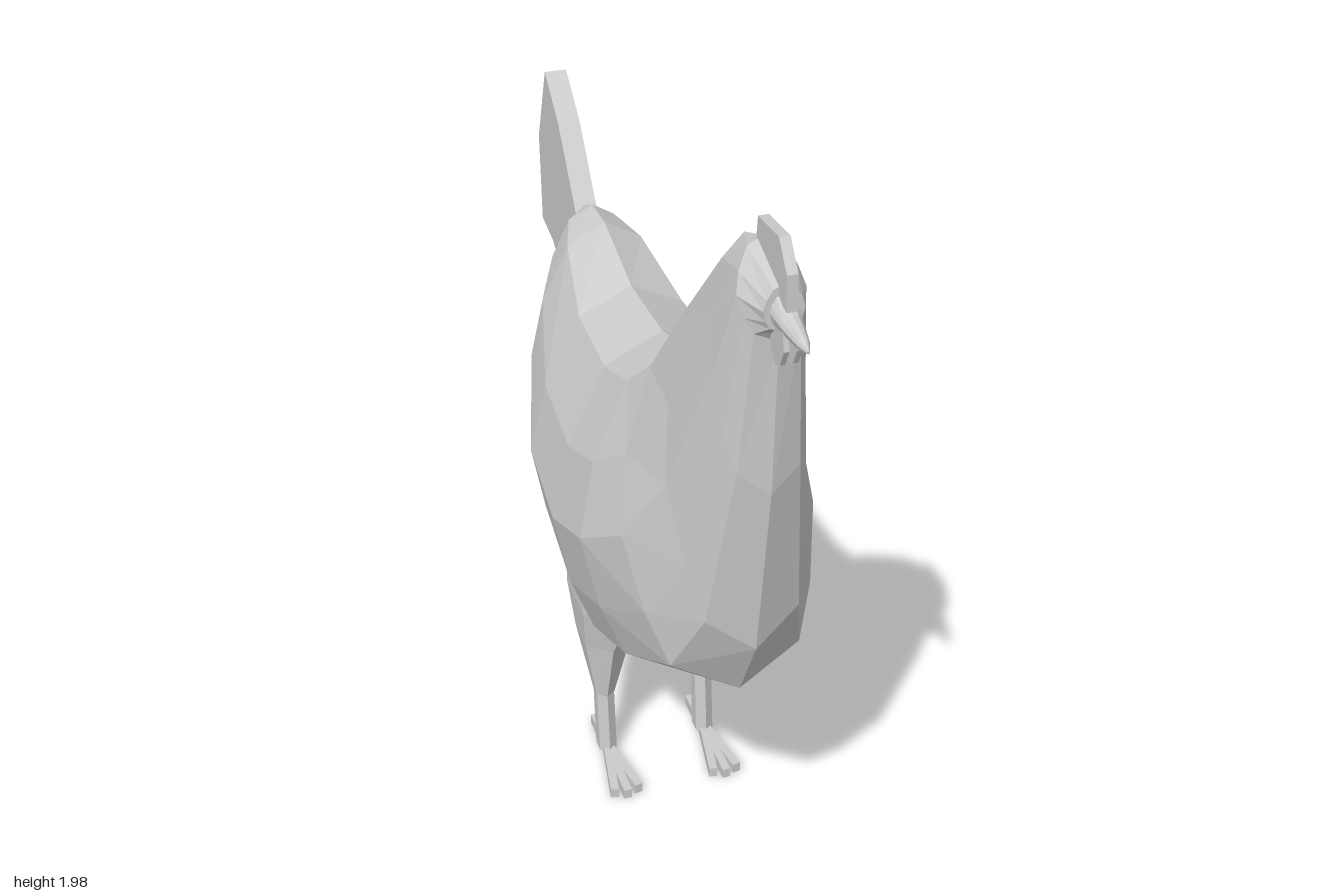
import * as THREE from 'three';

const material = new THREE.MeshStandardMaterial({ color: 0xcccccc, flatShading: true, side: THREE.DoubleSide });

function add(parent, name, geometry) {
  const mesh = new THREE.Mesh(geometry, material);
  mesh.name = name;
  parent.add(mesh);
  return mesh;
}

// Skin a list of rings (each a list of [x, y, z]) and close both ends
function loft(rings) {
  const n = rings[0].length, last = (rings.length - 1) * n, index = [];
  for (let i = 0; i < rings.length - 1; i++) {
    for (let j = 0; j < n; j++) {
      const a = i * n + j, b = i * n + (j + 1) % n;
      index.push(a, a + n, b, b, a + n, b + n);
    }
  }
  for (let j = 1; j < n - 1; j++) {
    index.push(0, j, j + 1, last, last + j + 1, last + j);
  }
  const geometry = new THREE.BufferGeometry();
  geometry.setAttribute('position', new THREE.Float32BufferAttribute(rings.flat(2), 3));
  geometry.setIndex(index);
  geometry.computeVertexNormals();
  return geometry;
}

// Keeled cross-section: [fraction from top to bottom, fraction of half width]
const half = [[0, 0], [0.08, 0.5], [0.3, 0.84], [0.52, 1], [0.74, 0.87], [0.9, 0.68], [1, 0]];
const section = [...half, ...half.slice(1, -1).reverse().map(([t, w]) => [t, -w])];

// Station: top z, top y, bottom z, bottom y, half width
const bodyRing = ([tz, ty, bz, by, w]) =>
  section.map(([t, f]) => [f * w, ty + (by - ty) * t, tz + (bz - tz) * t]);

// Flat plate from a side outline of [z, y] points
function plate(points, thickness) {
  const shape = new THREE.Shape(points.map(([z, y]) => new THREE.Vector2(z, y)));
  return new THREE.ExtrudeGeometry(shape, { depth: thickness, bevelEnabled: false })
    .translate(0, 0, -thickness / 2).rotateY(-Math.PI / 2);
}

// Six-sided horizontal ring: centre x, y, centre z, half width, half length
const legRing = ([x, y, z, rx, rz]) => Array.from({ length: 6 }, (_, k) => {
  const a = (k + 0.5) * Math.PI / 3;
  return [x + rx * Math.cos(a) / Math.cos(Math.PI / 6), y, z - rz * Math.sin(a)];
});

function createLeg(side) {
  const leg = new THREE.Group();
  leg.name = side > 0 ? 'leftLeg' : 'rightLeg';
  const x = 0.14 * side;

  add(leg, 'thigh', loft([
    [0.105 * side, 0.6, -0.06, 0.095, 0.19],
    [0.11 * side, 0.5, -0.055, 0.095, 0.16],
    [0.132 * side, 0.38, -0.045, 0.063, 0.1],
    [x, 0.2, -0.02, 0.025, 0.037],
  ].map(legRing)));
  add(leg, 'shank', loft([
    [x, 0.21, -0.02, 0.024, 0.037],
    [x, 0.02, 0, 0.024, 0.037],
  ].map(legRing)));

  // Three toes forward and one back
  for (const [angle, length] of [[-0.17, 0.2], [0, 0.21], [0.17, 0.2], [Math.PI, 0.12]]) {
    const toe = add(leg, 'toe', new THREE.BoxGeometry(0.022, 0.028, length).translate(0, 0.016, length / 2));
    toe.rotation.y = angle;
    toe.position.x = x;
  }
  return leg;
}

export function createModel() {
  const model = new THREE.Group();
  model.name = 'hen';

  // Body, neck and head in one skin from rump to face
  add(model, 'body', loft([
    [-0.63, 1.36, -0.69, 1.04, 0.05],
    [-0.56, 1.395, -0.65, 0.89, 0.125],
    [-0.44, 1.4, -0.5, 0.67, 0.2],
    [-0.2, 1.335, -0.21, 0.48, 0.275],
    [0.06, 1.345, 0.12, 0.44, 0.295],
    [0.23, 1.4, 0.39, 0.55, 0.285],
    [0.31, 1.48, 0.67, 0.71, 0.235],
    [0.44, 1.68, 0.77, 0.9, 0.165],
    [0.62, 1.88, 0.83, 1.36, 0.105],
    [0.73, 1.925, 0.84, 1.74, 0.075],
    [0.86, 1.88, 0.865, 1.775, 0.045],
  ].map(bodyRing)));

  add(model, 'beak', loft([
    [0.84, 1.87, 0.84, 1.785, 0.035],
    [0.91, 1.835, 0.92, 1.79, 0.024],
    [0.97, 1.82, 0.97, 1.79, 0.014],
    [1, 1.805, 1, 1.797, 0.003],
  ].map(bodyRing)));

  add(model, 'comb', plate([
    [0.72, 1.89], [0.73, 1.97], [0.85, 1.98], [0.9, 1.92], [0.905, 1.84], [0.8, 1.86],
  ], 0.024));

  // Pair of wattles below the beak
  for (const side of [-1, 1]) {
    add(model, 'wattle', plate([
      [0.83, 1.8], [0.85, 1.73], [0.875, 1.707], [0.9, 1.72], [0.92, 1.76], [0.91, 1.8],
    ], 0.012)).position.x = 0.014 * side;
  }

  add(model, 'tail', plate([
    [-0.6, 1.33], [-0.63, 1.365], [-0.78, 1.54], [-0.91, 1.635], [-1, 1.41],
    [-0.985, 1.16], [-0.87, 1.14], [-0.69, 1.035], [-0.65, 1.05],
  ], 0.06));

  model.add(createLeg(1), createLeg(-1));
  return model;
}
